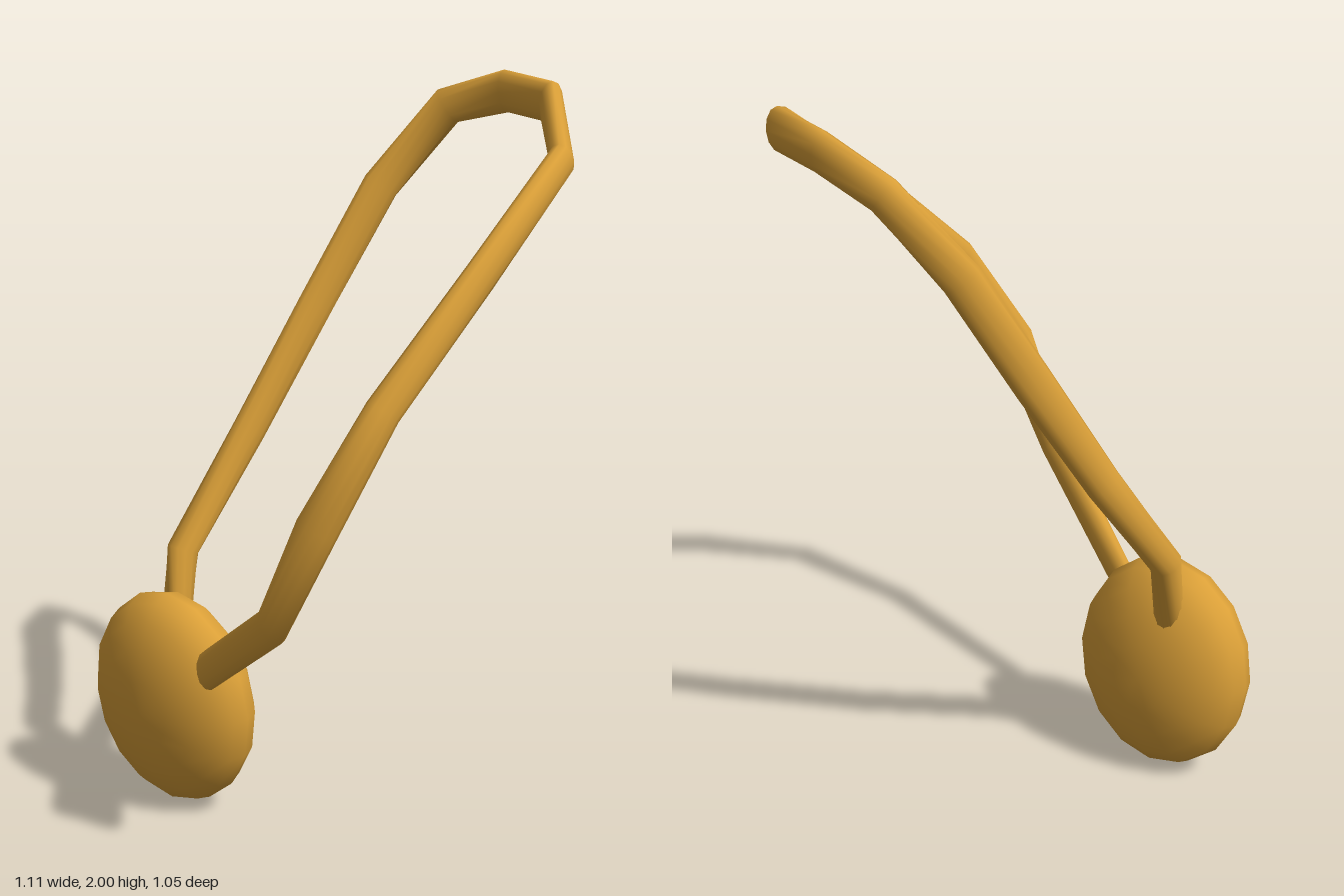
import * as THREE from 'three';

const SIDES = 12;

// Loop path: x, y, z, half height, half thickness of the oval section
const PATH = [
  [-0.40, 0.44, -0.11, 0.052, 0.028],
  [-0.43, 0.73, 0.305, 0.053, 0.033],
  [-0.39, 1.03, 0.458, 0.055, 0.034],
  [-0.22, 1.31, 0.49, 0.05, 0.037],
  [0.08, 1.60, 0.468, 0.05, 0.032],
  [0.38, 1.845, 0.395, 0.055, 0.033],
  [0.522, 1.943, 0.16, 0.057, 0.033],
  [0.518, 1.943, -0.03, 0.057, 0.031],
  [0.46, 1.88, -0.217, 0.052, 0.031],
  [0.305, 1.66, -0.313, 0.052, 0.031],
  [0.115, 1.34, -0.35, 0.054, 0.028],
  [-0.09, 1.01, -0.37, 0.05, 0.036],
  [-0.308, 0.70, -0.37, 0.046, 0.042],
  [-0.355, 0.48, -0.337, 0.046, 0.04],
];

// Oval sections kept upright along the path and skinned into a closed tube
function ovalTube(path) {
  const pts = path.map(p => new THREE.Vector3(p[0], p[1], p[2]));
  const up = new THREE.Vector3(0, 1, 0);
  const pos = [], index = [];
  const dir = i => pts[i + 1].clone().sub(pts[i]).normalize();
  const last = pts.length - 1;
  pts.forEach((p, i) => {
    const t = dir(Math.min(i, last - 1)).add(dir(Math.max(i - 1, 0))).normalize();
    const side = t.clone().cross(up).normalize();
    const wide = side.clone().cross(t);
    for (let j = 0; j < SIDES; j++) {
      const a = (j / SIDES) * Math.PI * 2;
      const v = p.clone()
        .addScaledVector(wide, Math.cos(a) * path[i][3])
        .addScaledVector(side, Math.sin(a) * path[i][4]);
      pos.push(v.x, v.y, v.z);
    }
  });
  for (let i = 0; i < last; i++) {
    for (let j = 0; j < SIDES; j++) {
      const k = (j + 1) % SIDES;
      const a = i * SIDES + j, b = i * SIDES + k;
      index.push(a, b, a + SIDES, b, b + SIDES, a + SIDES);
    }
  }
  // End caps
  for (let j = 1; j < SIDES - 1; j++) {
    const e = last * SIDES;
    index.push(0, j + 1, j, e, e + j, e + j + 1);
  }
  const geo = new THREE.BufferGeometry();
  geo.setAttribute('position', new THREE.Float32BufferAttribute(pos, 3));
  geo.setIndex(index);
  geo.computeVertexNormals();
  return geo;
}

export function createModel() {
  const group = new THREE.Group();
  group.name = 'loopWithPendant';
  const gold = new THREE.MeshStandardMaterial({ color: 0xdba038 });
  gold.name = 'gold';

  const loop = new THREE.Mesh(ovalTube(PATH), gold);
  loop.name = 'loop';
  group.add(loop);

  // Flattened pendant, its poles on the thin axis
  const geo = new THREE.SphereGeometry(1, 16, 10);
  geo.rotateZ(Math.PI / 2);
  geo.scale(0.146, 0.313, 0.262);
  const pendant = new THREE.Mesh(geo, gold);
  pendant.name = 'pendant';
  pendant.position.set(-0.395, 0.314, -0.276);
  pendant.rotation.set(0, 0.343, 0.075, 'YXZ');
  group.add(pendant);

  return group;
}
